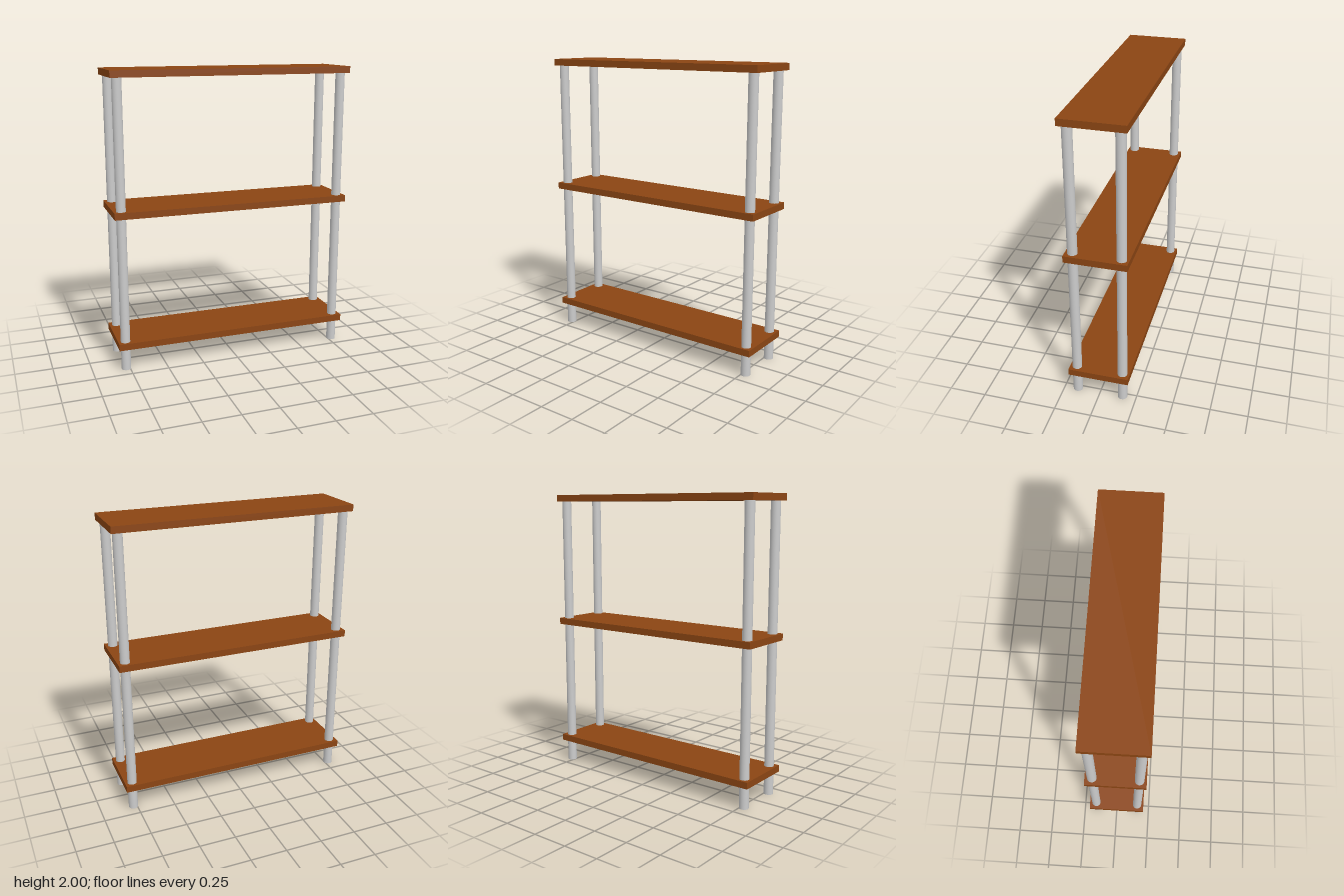
import * as THREE from 'three';

const WIDTH = 1.65, DEPTH = 0.41, THICKNESS = 0.045;
const SHELF_TOPS = [0.197, 1.1, 2];
const POST_X = 0.775, POST_Z = 0.157, POST_RADIUS = 0.032;

export function createModel() {
  const group = new THREE.Group();
  group.name = 'shelfUnit';
  const wood = new THREE.MeshStandardMaterial({ color: 0x8b4513 });
  const metal = new THREE.MeshStandardMaterial({ color: 0xcccccc });

  // Three identical boards
  const board = new THREE.BoxGeometry(WIDTH, THICKNESS, DEPTH);
  ['bottomShelf', 'middleShelf', 'topShelf'].forEach((name, i) => {
    const shelf = new THREE.Mesh(board, wood);
    shelf.name = name;
    shelf.position.y = SHELF_TOPS[i] - THICKNESS / 2;
    group.add(shelf);
  });

  // Round corner posts, from the floor to the underside of the top board
  const height = SHELF_TOPS[2] - THICKNESS;
  const tube = new THREE.CylinderGeometry(POST_RADIUS, POST_RADIUS, height, 32);
  for (const [side, sx] of [['Left', 1], ['Right', -1]]) {
    for (const [end, sz] of [['front', 1], ['back', -1]]) {
      const post = new THREE.Mesh(tube, metal);
      post.name = `${end}${side}Post`;
      post.position.set(sx * POST_X, height / 2, sz * POST_Z);
      group.add(post);
    }
  }
  return group;
}
